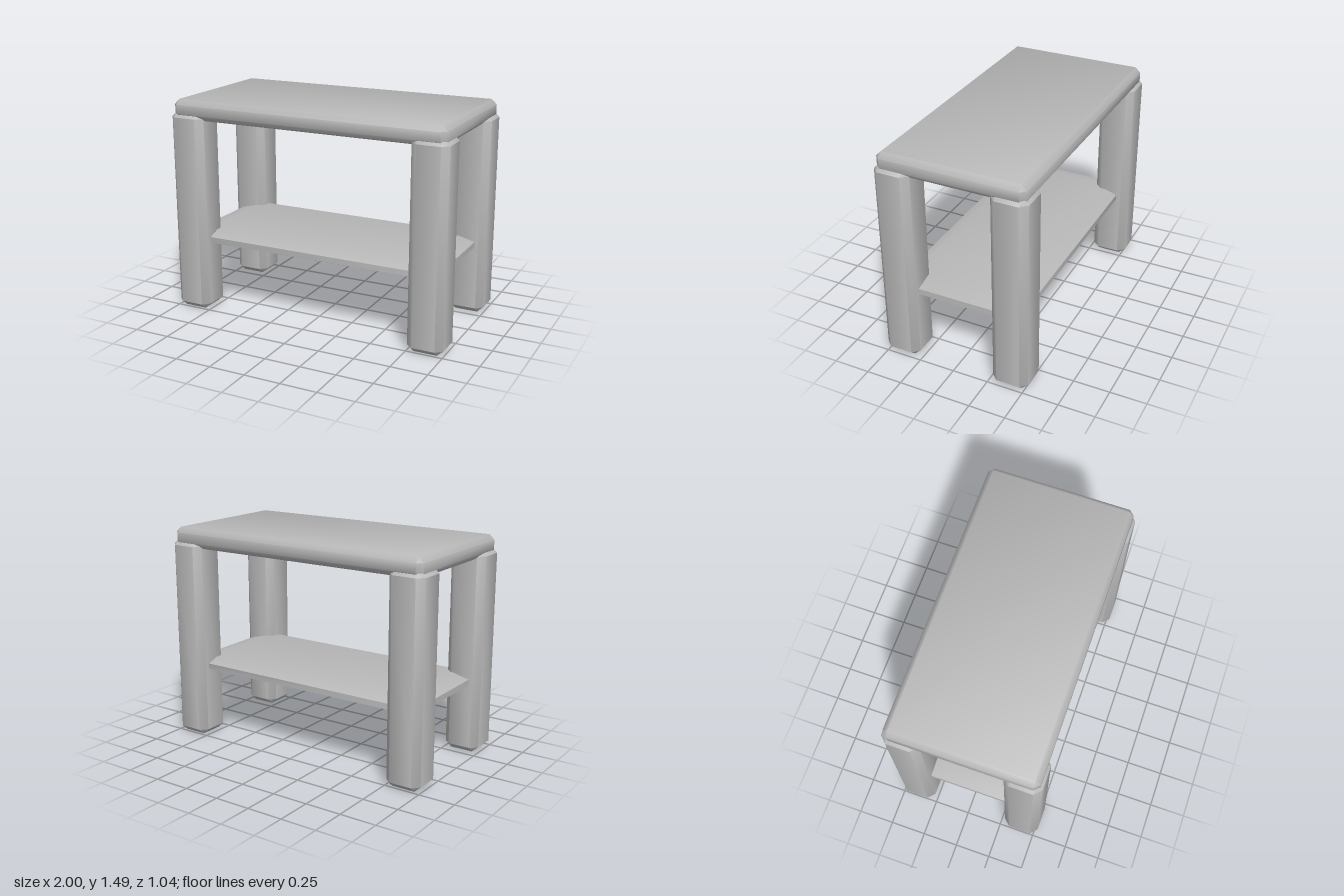
import * as THREE from 'three';
import { toCreasedNormals } from 'three/addons/utils/BufferGeometryUtils.js';
import { ConvexGeometry } from 'three/addons/geometries/ConvexGeometry.js';

// Box with every edge chamfered; b holds the chamfer inset along each axis
function bevelBox([w, h, d], [bx, by, bz]) {
  const points = [];
  for (const sx of [-1, 1]) for (const sy of [-1, 1]) for (const sz of [-1, 1]) {
    const x = w / 2, y = h / 2, z = d / 2;
    points.push(
      new THREE.Vector3(sx * x, sy * (y - by), sz * (z - bz)),
      new THREE.Vector3(sx * (x - bx), sy * y, sz * (z - bz)),
      new THREE.Vector3(sx * (x - bx), sy * (y - by), sz * z)
    );
  }
  return toCreasedNormals(new ConvexGeometry(points), 0.83);
}

export function createModel() {
  const group = new THREE.Group();
  group.name = 'table';
  const grey = new THREE.MeshStandardMaterial({ color: 0xb8b8b8 });
  grey.name = 'grey';

  const add = (name, geometry, x, y, z) => {
    const mesh = new THREE.Mesh(geometry, grey);
    mesh.name = name;
    mesh.position.set(x, y, z);
    group.add(mesh);
  };

  // Top slab, resting slightly sunk over the legs
  add('tableTop', bevelBox([1.96, 0.135, 1.01], [0.036, 0.035, 0.036]), 0, 1.4225, 0);

  // Lower shelf, its corners buried in the legs
  add('shelf', bevelBox([1.86, 0.1, 0.89], [0.12, 0.03, 0.085]), 0, 0.508, 0);

  // Four chunky legs
  const leg = bevelBox([0.25, 1.41, 0.25], [0.045, 0.04, 0.045]);
  for (const [sz, end] of [[1, 'front'], [-1, 'back']]) {
    for (const [sx, side] of [[1, 'Left'], [-1, 'Right']]) {
      add(`${end}${side}Leg`, leg, sx * 0.875, 0.705, sz * 0.397);
    }
  }
  return group;
}
